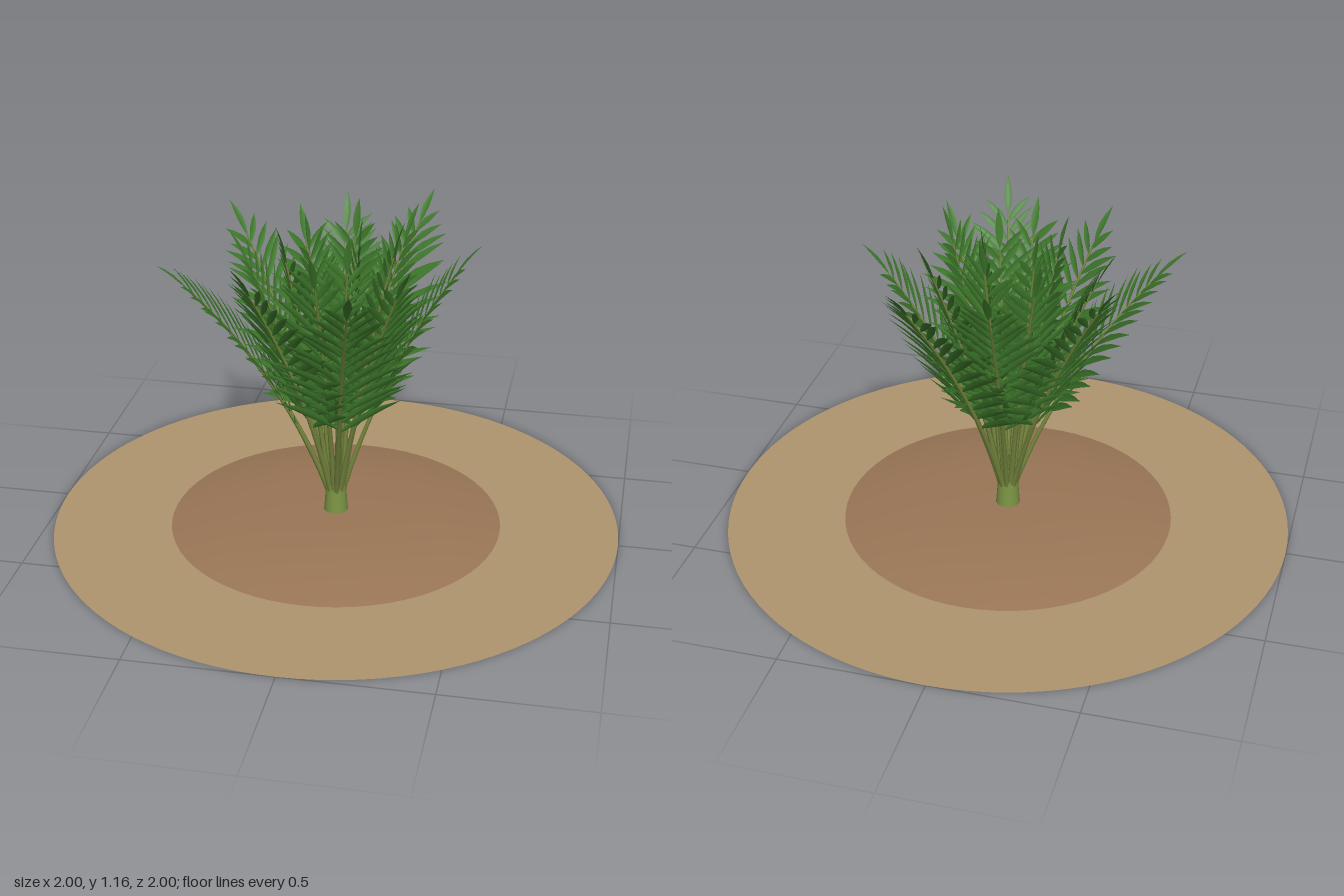
import * as THREE from 'three';

const V = (x, y, z) => new THREE.Vector3(x, y, z);
const mat = (color) => new THREE.MeshStandardMaterial({ color, side: THREE.DoubleSide });

// Small seeded generator for natural variation
let seed = 7;
const rand = (a, b) => {
  seed = (seed * 16807) % 2147483647;
  return a + (b - a) * (seed / 2147483647);
};

function addMesh(parent, name, geometry, material) {
  const mesh = new THREE.Mesh(geometry, material);
  mesh.name = name;
  parent.add(mesh);
  return mesh;
}

// Tube that narrows from its root to its tip
function taperedStem(curve, r0, r1) {
  const segs = 16, sides = 6;
  const geo = new THREE.TubeGeometry(curve, segs, 1, sides);
  const pos = geo.attributes.position, p = V();
  for (let i = 0; i < pos.count; i++) {
    const u = Math.floor(i / (sides + 1)) / segs;
    const c = curve.getPointAt(u);
    p.fromBufferAttribute(pos, i).sub(c).multiplyScalar(r0 + (r1 - r0) * u).add(c);
    pos.setXYZ(i, p.x, p.y, p.z);
  }
  return geo;
}

// Pointed blade: three-point folded cross-sections swept along a drooping line
const BLADE = [[0, 0.15], [0.2, 0.75], [0.45, 1], [0.72, 0.68], [1, 0.02]];
function addLeaflet(verts, index, root, dir, normal, length, width, droop) {
  const first = verts.length / 3;
  const across = V().crossVectors(normal, dir).normalize();
  const up = V().crossVectors(dir, across);
  BLADE.forEach(([t, w], row) => {
    const c = root.clone().addScaledVector(dir, length * t);
    c.y -= droop * length * t * t;
    for (const k of [-1, 0, 1]) {
      const p = c.clone().addScaledVector(across, (k * w * width) / 2);
      p.addScaledVector(up, Math.abs(k) * w * width * 0.15);
      verts.push(p.x, p.y, p.z);
    }
    if (row === 0) return;
    for (const k of [0, 1]) {
      const a = first + (row - 1) * 3 + k, b = a + 3;
      index.push(a, b, a + 1, b, b + 1, a + 1);
    }
  });
}

// Leaflets in pairs along the upper two thirds of a stem, with one at the tip
function leafletsFor(curve, angle) {
  const verts = [], index = [], pairs = 13;
  const side = V(-Math.sin(angle), 0, Math.cos(angle));
  for (let j = 0; j <= pairs; j++) {
    const f = j / pairs, u = 0.33 + 0.67 * f;
    const tangent = curve.getTangentAt(u);
    const normal = V().crossVectors(tangent, side).normalize();
    if (normal.y < 0) normal.negate();
    if (j === pairs) {
      addLeaflet(verts, index, curve.getPointAt(1), tangent, normal, 0.15, 0.028, 0.1);
      continue;
    }
    for (const s of [-1, 1]) {
      const root = curve.getPointAt(Math.min(1, u + (s > 0 ? 0.02 : 0)));
      const spread = THREE.MathUtils.degToRad(52 - 18 * f + rand(-5, 5));
      const dir = tangent.clone().multiplyScalar(Math.cos(spread))
        .addScaledVector(side, s * Math.sin(spread))
        .addScaledVector(normal, 0.12).normalize();
      const length = (0.2 + 0.12 * Math.sin(Math.PI * Math.min(1, 0.2 + f * 0.9))
        - 0.07 * f) * rand(0.92, 1.06);
      addLeaflet(verts, index, root, dir, normal, length, 0.031 - 0.006 * f, 0.14);
    }
  }
  const geo = new THREE.BufferGeometry();
  geo.setAttribute('position', new THREE.Float32BufferAttribute(verts, 3));
  geo.setIndex(index);
  geo.computeVertexNormals();
  return geo;
}

export function createModel() {
  const model = new THREE.Group();
  model.name = 'pottedPalmOnGround';
  const leafMat = mat(0x3f7a2c), stemMat = mat(0x77883f);

  // Sandy ground around the soil
  const ground = addMesh(model, 'ground', new THREE.RingGeometry(0.58, 1, 96, 1), mat(0xb0956f));
  ground.rotation.x = -Math.PI / 2;

  // Low soil mound
  const profile = [];
  for (let i = 0; i <= 12; i++) {
    const r = 0.585 * (1 - i / 12);
    profile.push(new THREE.Vector2(r, 0.046 * (1 - Math.pow(r / 0.585, 2.6))));
  }
  addMesh(model, 'soilMound', new THREE.LatheGeometry(profile, 64), mat(0x9a7656));

  // Short trunk
  const trunk = addMesh(model, 'trunk', new THREE.CylinderGeometry(0.034, 0.044, 0.13, 20), mat(0x7c9444));
  trunk.position.y = 0.095;

  // Fronds in a golden-angle spiral, outermost first
  const count = 18;
  for (let i = 0; i < count; i++) {
    const f = i / (count - 1);
    const angle = THREE.MathUtils.degToRad(160 + i * 137.5);
    const reach = 0.5 - 0.42 * f;
    const tipY = 0.95 + 0.06 * f + rand(-0.03, 0.04);
    const at = (r, y) => V(Math.cos(angle) * r, y, Math.sin(angle) * r);
    const curve = new THREE.QuadraticBezierCurve3(
      at(0.022, 0.11), at(0.022 + reach * 0.32, 0.58), at(reach, tipY));
    const frond = new THREE.Group();
    frond.name = `frond${i + 1}`;
    addMesh(frond, 'stem', taperedStem(curve, 0.011, 0.003), stemMat);
    addMesh(frond, 'leaflets', leafletsFor(curve, angle), leafMat);
    model.add(frond);
  }
  return model;
}
